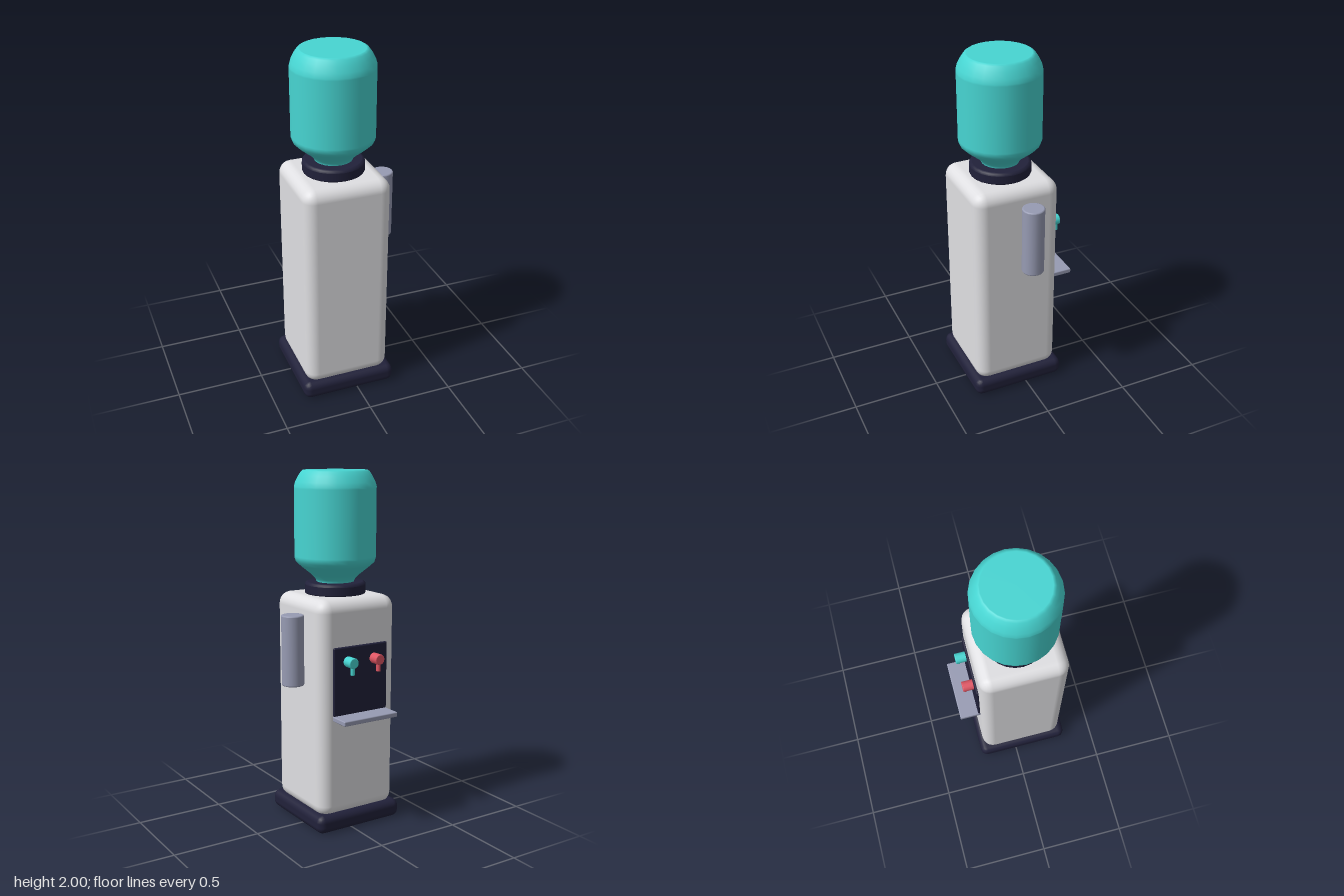
import * as THREE from 'three';
import { RoundedBoxGeometry } from 'three/addons/geometries/RoundedBoxGeometry.js';

const material = (name, color) => {
  const m = new THREE.MeshStandardMaterial({ color });
  m.name = name;
  return m;
};

export function createModel() {
  const white = material('white', 0xdfdfe2);
  const navy = material('navy', 0x21213a);
  const teal = material('teal', 0x47d5d2);
  const grey = material('grey', 0x979bb3);
  const red = material('red', 0xe05664);

  const model = new THREE.Group();
  model.name = 'waterCooler';
  const CX = -0.05, CZ = 0.047; // axis of the cabinet and bottle

  const add = (name, geometry, mat, x, y, z, parent = model) => {
    const mesh = new THREE.Mesh(geometry, mat);
    mesh.name = name;
    mesh.position.set(x, y, z);
    parent.add(mesh);
    return mesh;
  };
  const lathe = (points, sides) =>
    new THREE.LatheGeometry(points.map(([r, y]) => new THREE.Vector2(r, y)), sides);
  // Cylinder with a small bevel on both rims, centred on its own middle
  const bevelledCylinder = (r, h, b, sides) => lathe([
    [0, -h / 2], [r - b - 0.001, -h / 2], [r - b, -h / 2], [r - b * 0.3, -h / 2 + b * 0.3],
    [r, -h / 2 + b], [r, -h / 2 + b + 0.001], [r, h / 2 - b - 0.001], [r, h / 2 - b],
    [r - b * 0.3, h / 2 - b * 0.3], [r - b, h / 2], [r - b - 0.001, h / 2], [0, h / 2],
  ], sides);

  // Cabinet
  add('base', new RoundedBoxGeometry(0.55, 0.105, 0.55, 2, 0.04), navy, CX, 0.0545, CZ);
  add('cabinet', new RoundedBoxGeometry(0.5, 1.24, 0.5, 3, 0.07), white, CX, 0.7, CZ);

  // Bottle and its collar
  add('collar', bevelledCylinder(0.172, 0.075, 0.015, 24), navy, CX, 1.3475, CZ);
  add('bottle', lathe([
    [0, 1.36], [0.105, 1.36], [0.106, 1.385], [0.112, 1.4], [0.135, 1.425], [0.2, 1.477],
    [0.222, 1.498], [0.229, 1.52], [0.229, 1.53], [0.229, 1.9], [0.229, 1.91],
    [0.222, 1.935], [0.205, 1.968], [0.189, 1.992], [0.178, 2], [0.172, 2], [0, 2],
  ], 24), teal, CX, 0, CZ);

  // Cup dispenser on the side
  add('cupDispenser', bevelledCylinder(0.0625, 0.395, 0.006, 20), grey, 0.2625, 1.0325, -0.007);

  // Dispensing panel and drip tray
  add('panel', new RoundedBoxGeometry(0.353, 0.385, 0.03, 2, 0.008), navy, CX, 0.87, -0.2);
  add('dripTray', new RoundedBoxGeometry(0.354, 0.028, 0.13, 2, 0.006), grey, CX, 0.664, -0.257);

  // Taps
  for (const [name, x, mat] of [['coldTap', 0.036, teal], ['hotTap', -0.136, red]]) {
    const tap = new THREE.Group();
    tap.name = name;
    tap.position.set(x, 0.98, 0);
    model.add(tap);
    add('tapBody', bevelledCylinder(0.03, 0.072, 0.004, 12), mat, 0, 0, -0.241, tap)
      .rotation.x = Math.PI / 2;
    add('spout', bevelledCylinder(0.013, 0.07, 0.003, 10), mat, 0, -0.033, -0.26, tap);
  }
  return model;
}
